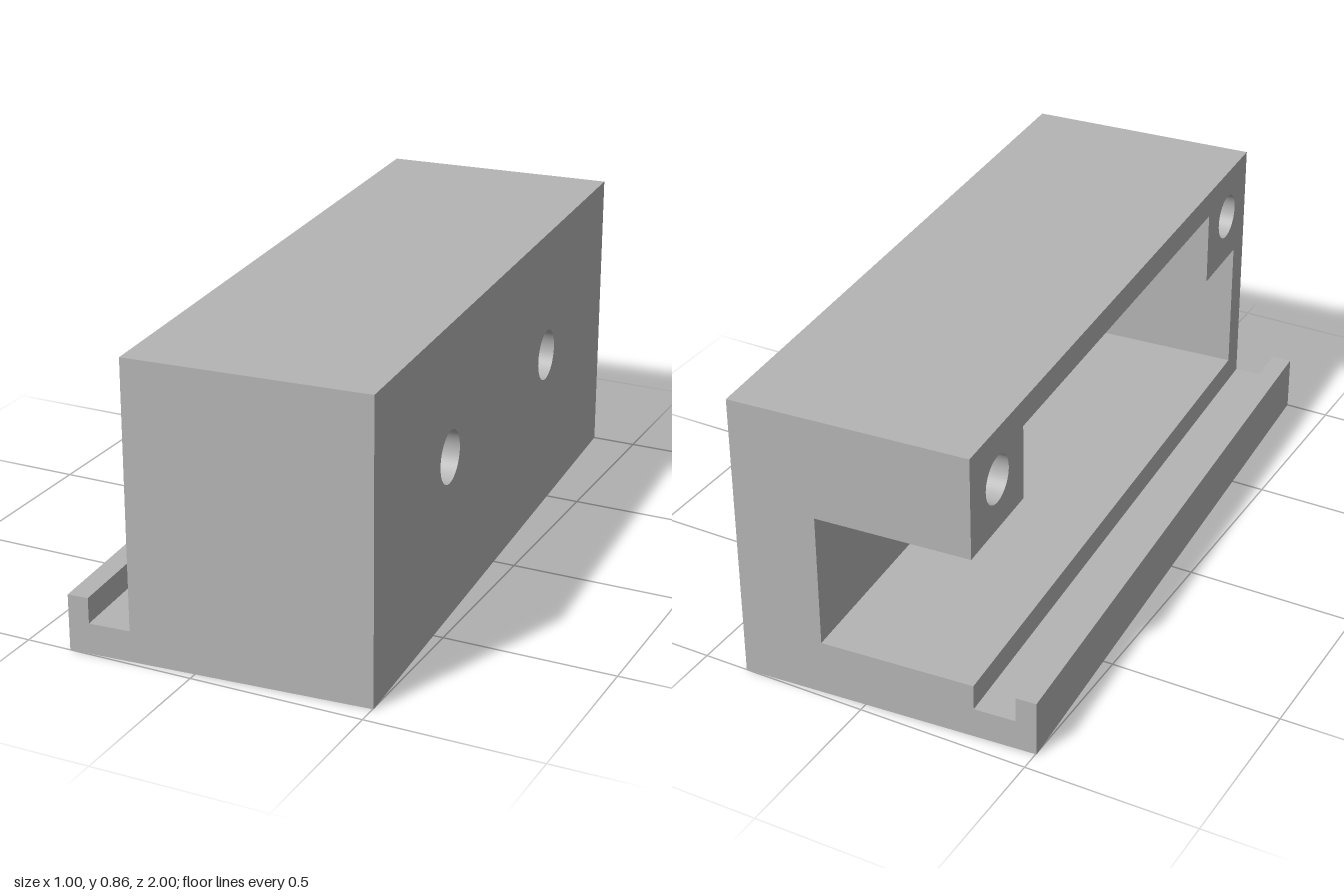
import * as THREE from 'three';

const L = 0.9725;                        // half length
const R = 0.436, FACE = -0.2555, LIP = -0.376, DEEP = 0.195;
const H = 0.862, FLOOR = 0.165, GROOVE = 0.09;
const CEIL = 0.563, POCKET = 0.784;      // cavity roof and raised pocket roof

const rect = (a0, b0, a1, b1) => [[a0, b0], [a1, b0], [a1, b1], [a0, b1]];

export function createModel() {
  const grey = new THREE.MeshStandardMaterial({ color: 0xb4b4b4 });
  const body = new THREE.Group();
  body.name = 'housing';

  const add = (name, geometry) => {
    const mesh = new THREE.Mesh(geometry, grey);
    mesh.name = name;
    body.add(mesh);
    return mesh;
  };

  // Flat panel across an axis: x takes (z,y), y takes (x,z), z takes (x,y) points
  function panel(name, axis, sign, offset, points, holes = []) {
    const shape = new THREE.Shape(points.map(p => new THREE.Vector2(...p)));
    for (const [a, b, r] of holes) shape.holes.push(new THREE.Path().absarc(a, b, r, 0, Math.PI * 2, true));
    const g = new THREE.ShapeGeometry(shape, 24);
    const pos = g.attributes.position;
    for (let i = 0; i < pos.count; i++) {
      const a = pos.getX(i), b = pos.getY(i);
      if (axis === 'x') pos.setXYZ(i, offset, b, a);
      else if (axis === 'y') pos.setXYZ(i, a, offset, b);
      else pos.setXYZ(i, a, b, offset);
    }
    if (sign !== (axis === 'z' ? 1 : -1)) g.index.array.reverse();
    g.computeVertexNormals();
    return add(name, g);
  }

  // Blind round hole, mouth on the plane x, opening towards sign
  function bore(name, sign, x, y, z, r, depth) {
    const wall = new THREE.LatheGeometry([new THREE.Vector2(r, depth), new THREE.Vector2(r, 0)], 48);
    const end = new THREE.CircleGeometry(r, 48).rotateX(-Math.PI / 2);
    for (const [part, g] of [['Wall', wall], ['End', end]]) {
      const mesh = add(name + part, g);
      mesh.rotation.z = -sign * Math.PI / 2;
      mesh.position.set(x - sign * depth, y, z);
    }
  }

  // Cavity outline seen from the open side, as (z,y)
  const opening = [[-L, FLOOR], [0.8925, FLOOR], [0.8925, CEIL], [0.66, CEIL],
    [0.66, POCKET], [-0.66, POCKET], [-0.66, CEIL], [-L, CEIL]];

  // End faces: solid front, C-shaped back
  const foot = [[FACE, GROOVE], [LIP, GROOVE], [LIP, FLOOR], [-R, FLOOR], [-R, 0], [R, 0], [R, H], [FACE, H]];
  panel('frontEnd', 'z', 1, L, foot);
  panel('backEnd', 'z', -1, -L, [...foot, [FACE, CEIL], [DEEP, CEIL], [DEEP, FLOOR], [FACE, FLOOR]]);

  // Outer skin
  const sideHoles = [-0.418, 0.418].map(z => [z, 0.48, 0.076]);
  const faceHoles = [-0.816, 0.816].map(z => [z, 0.712, 0.068]);
  panel('top', 'y', 1, H, rect(FACE, -L, R, L));
  panel('bottom', 'y', -1, 0, rect(-R, -L, R, L));
  panel('leftSide', 'x', 1, R, rect(-L, 0, L, H), sideHoles);
  panel('openSide', 'x', -1, FACE,
    [[-L, GROOVE], [L, GROOVE], [L, H], [-L, H], ...[...opening].reverse()], faceHoles);

  // Rail with groove
  panel('grooveFloor', 'y', 1, GROOVE, rect(LIP, -L, FACE, L));
  panel('railInner', 'x', 1, LIP, rect(-L, GROOVE, L, FLOOR));
  panel('railTop', 'y', 1, FLOOR, rect(-R, -L, LIP, L));
  panel('railOuter', 'x', -1, -R, rect(-L, 0, L, FLOOR));

  // Cavity: rear wall, then one panel per edge of the opening
  panel('cavityWall', 'x', -1, DEEP, opening);
  for (let i = 0; i < opening.length - 1; i++) {
    const [z0, y0] = opening[i], [z1, y1] = opening[i + 1];
    if (y0 === y1) panel('cavityLevel' + i, 'y', Math.sign(z1 - z0), y0, rect(FACE, Math.min(z0, z1), DEEP, Math.max(z0, z1)));
    else panel('cavityUpright' + i, 'z', Math.sign(y0 - y1), z0, rect(FACE, Math.min(y0, y1), DEEP, Math.max(y0, y1)));
  }

  // Screw holes
  for (const [z, y, r] of sideHoles) bore('sideHole', 1, R, y, z, r, 0.18);
  for (const [z, y, r] of faceHoles) bore('faceHole', -1, FACE, y, z, r, 0.25);

  // The whole block sits turned slightly about the vertical
  body.rotation.y = 0.0695;
  const model = new THREE.Group();
  model.name = 'mountingBlock';
  model.add(body);
  return model;
}
